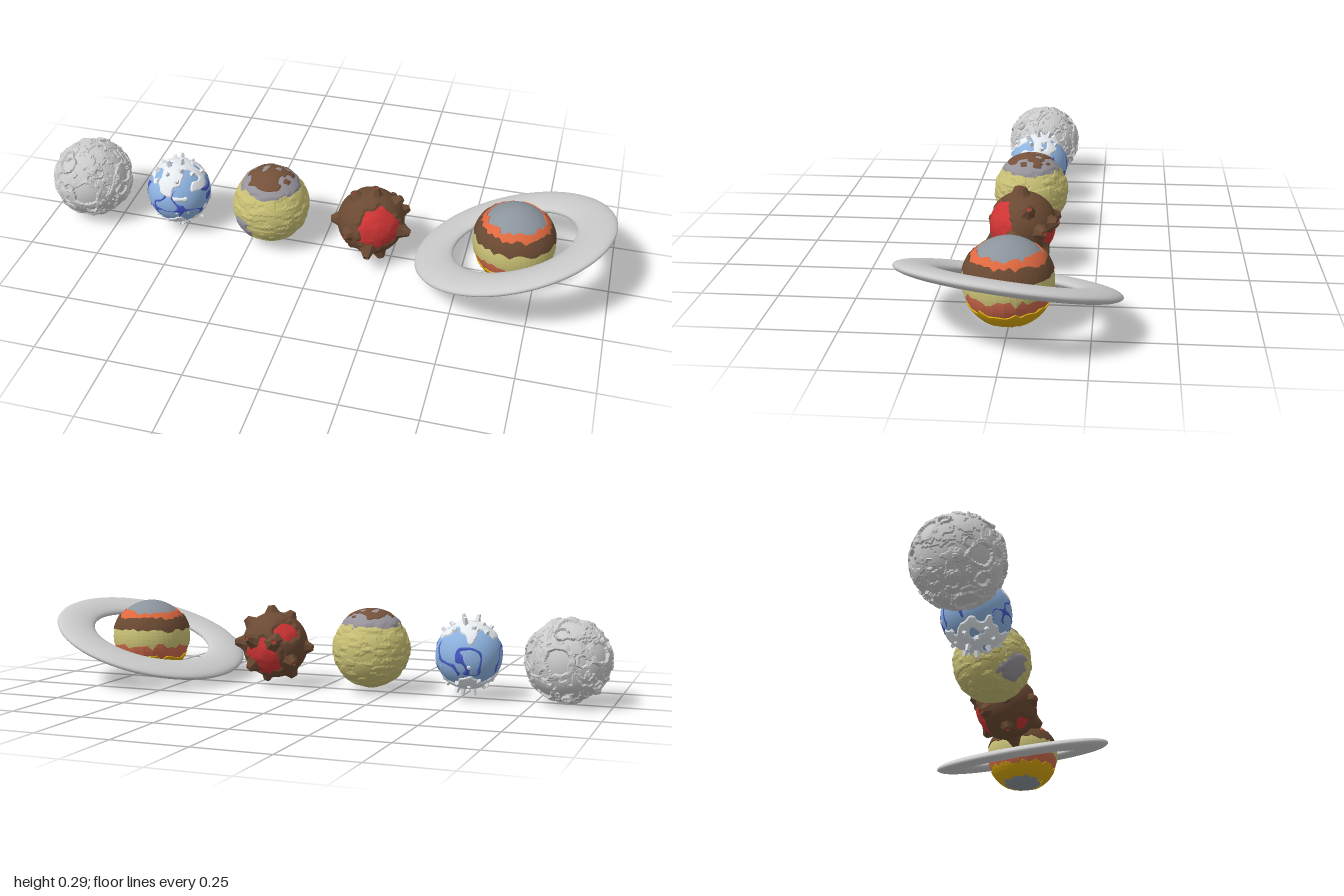
import * as THREE from 'three';

const v3 = (x, y, z) => new THREE.Vector3(x, y, z);
const dir = (a) => v3(...a).normalize();
const clamp = THREE.MathUtils.clamp;

// Smooth value noise in -1..1
function hash(x, y, z) {
  let n = Math.imul(x, 374761393) + Math.imul(y, 668265263) + Math.imul(z, 1440662683);
  n = Math.imul(n ^ (n >>> 13), 1274126177);
  return ((n ^ (n >>> 16)) >>> 0) / 2147483648 - 1;
}
function noise(p, f, seed = 0) {
  const c = [p.x * f + seed, p.y * f + seed, p.z * f + seed];
  const i = c.map(Math.floor);
  const t = c.map((v, k) => { const u = v - i[k]; return u * u * (3 - 2 * u); });
  let sum = 0;
  for (let k = 0; k < 8; k++) {
    const a = k & 1, b = (k >> 1) & 1, d = k >> 2;
    sum += hash(i[0] + a, i[1] + b, i[2] + d)
      * (a ? t[0] : 1 - t[0]) * (b ? t[1] : 1 - t[1]) * (d ? t[2] : 1 - t[2]);
  }
  return sum;
}

function mesh(name, geometry, color = 0xcccccc, flat = true) {
  const m = new THREE.Mesh(geometry, new THREE.MeshStandardMaterial({ color, flatShading: flat }));
  m.name = name;
  return m;
}

// Faceted ball whose radius follows a rule; faces wholly under minR are dropped
function ball(name, color, detail, radius, minR = 0) {
  const src = new THREE.IcosahedronGeometry(1, detail).attributes.position;
  const out = [];
  const p = v3(0, 0, 0);
  for (let i = 0; i < src.count; i += 3) {
    const tri = [];
    let seen = false;
    for (let k = 0; k < 3; k++) {
      p.fromBufferAttribute(src, i + k).normalize();
      const r = radius(p);
      if (r > minR) seen = true;
      tri.push(p.x * r, p.y * r, p.z * r);
    }
    if (seen) out.push(...tri);
  }
  const g = new THREE.BufferGeometry();
  g.setAttribute('position', new THREE.Float32BufferAttribute(out, 3));
  g.computeVertexNormals();
  return mesh(name, g, color);
}

// Raised plates with steep edges wherever mask(p) > 0
const plates = (name, color, r, h, mask) =>
  ball(name, color, 26, (p) => r + h * clamp(mask(p) * 12, -1, 1), r - h * 0.99);

// Stand a mesh on the ball along a direction
function stand(m, d, r) {
  m.position.copy(d).multiplyScalar(r);
  m.quaternion.setFromUnitVectors(v3(0, 1, 0), d);
  return m;
}

function planet(name, x, y, ...parts) {
  const g = new THREE.Group();
  g.name = name;
  g.position.set(x, y, 0);
  g.add(...parts);
  return g;
}

function fibonacci(n) {
  return Array.from({ length: n }, (_, i) => {
    const y = 1 - (2 * i + 1) / n, s = Math.sqrt(1 - y * y), a = i * 2.39996;
    return v3(Math.cos(a) * s, y, Math.sin(a) * s);
  });
}

// Grey cratered rock with stepped crust
function rockPlanet() {
  const craters = [
    [[-0.1, 0.8, -0.5], 0.38], [[0.95, 0.35, 0.1], 0.28], [[0.2, 0.1, 1], 0.42],
    [[-0.7, -0.3, 0.6], 0.3], [[0.5, -0.6, -0.6], 0.36], [[-0.8, 0.3, -0.5], 0.32],
    [[0.1, 0.1, -1], 0.4], [[0, -1, 0.2], 0.32], [[-0.4, 0.7, 0.6], 0.25],
  ].map(([d, s]) => [dir(d), s]);
  fibonacci(17).forEach((d, i) => craters.push([d, 0.12 + 0.03 * (i % 3)]));
  return planet('rockPlanet', -0.855, 0.149, ball('crateredCrust', 0xcccccc, 40, (p) => {
    let r = 0.137 + 0.004 * Math.round(1.6 * noise(p, 4.5, 3) + 0.9 * noise(p, 10, 8));
    for (const [d, s] of craters) {
      const a = p.angleTo(d) / s + 0.12 * noise(p, 9, 5);
      if (a < 0.72) r = 0.1345;
      else if (a < 1.02) r = 0.1425 + 0.003 * noise(p, 12, 2);
    }
    return Math.min(r, 0.147);
  }));
}

// Blue ocean ball, dark seas, pale ice sheets and blocky polar ice
function icePlanet() {
  const ice = new THREE.Group();
  ice.name = 'polarIce';
  fibonacci(90).forEach((d, i) => {
    if (Math.abs(d.y) < 0.66) return;
    const h = 0.012 + 0.012 * Math.abs(hash(i, 2, 5)) + 0.012 * (Math.abs(d.y) > 0.9);
    const block = mesh('iceBlock', new THREE.CylinderGeometry(0.006, 0.012, h, 4 + (i % 2)), 0xe6ebf0);
    ice.add(stand(block, d, 0.109 + h / 3));
  });
  return planet('icePlanet', -0.525, 0.15,
    ball('ocean', 0x8db2e0, 14, () => 0.111),
    plates('deepSeas', 0x4659c4, 0.1105, 0.0025,
      (p) => 0.11 - Math.abs(noise(p, 2.6, 11)) - 0.55 * Math.max(0, Math.abs(p.y) - 0.4)),
    plates('iceSheets', 0xe6ebf0, 0.1115, 0.0035,
      (p) => 0.75 * noise(p, 4, 21) + 1.15 * Math.abs(p.y) - 0.72),
    ice);
}

// Sandy ball with flaky strata and a grey-rimmed brown basin on top
function sandPlanet() {
  const patch = dir([-0.58, -0.45, 0.68]);
  const cap = (p, size) => size - p.angleTo(v3(0, 1, 0)) + 0.09 * noise(p, 7, 4);
  return planet('sandPlanet', -0.183, 0.153,
    ball('sand', 0xc8bf74, 26, (p) =>
      0.132 + 0.0022 * Math.round(1.5 * noise(v3(p.x, p.y * 2.6, p.z), 4, 7))),
    plates('greyRim', 0x96939a, 0.133, 0.0035, (p) => cap(p, 0.86)),
    plates('brownBasin', 0x75513a, 0.135, 0.0038,
      (p) => Math.min(cap(p, 0.66), 0.38 + noise(p, 6, 15))),
    plates('greyPatch', 0x96939a, 0.133, 0.0035,
      (p) => 0.34 - p.angleTo(patch) + 0.16 * noise(p, 8, 9)));
}

// Red molten ball under a brown crust studded with volcanoes
function volcanoPlanet() {
  const openings = [
    [[0.5, 0.25, 0.8], 0.75], [[-0.6, 0.5, -0.6], 0.38], [[0.1, -0.35, -0.95], 0.7], [[-0.35, -0.7, 0.55], 0.28],
  ].map(([d, s]) => [dir(d), s]);
  const peaks = new THREE.Group();
  peaks.name = 'volcanoes';
  [[-0.45, 0.88, 0.15], [0.72, 0.66, -0.2], [0.97, -0.1, 0.15], [-0.5, -0.85, 0.1], [-0.97, -0.05, 0.1],
    [0.32, -0.92, 0.2], [-0.35, 0.2, -0.92], [0.42, 0.25, -0.88], [0.85, 0.1, -0.6], [-0.5, 0, 0.87],
    [0.1, 0.98, 0], [0.1, -0.5, 0.87], [0.5, -0.6, -0.65], [-0.75, -0.4, -0.55]].forEach((a, i) => {
    const h = 0.03 + 0.005 * (i % 3);
    const profile = [[0.036, 0], [0.023, h * 0.45], [0.012, h], [0.007, h], [0.004, h * 0.75], [0, h * 0.75]];
    const cone = new THREE.LatheGeometry(profile.map((q) => new THREE.Vector2(...q)), 7);
    const lava = mesh('lava', new THREE.CylinderGeometry(0.008, 0.008, 0.002, 7), 0xcf3434);
    lava.position.y = h * 0.86;
    const v = new THREE.Group();
    v.name = 'volcano';
    v.add(mesh('cone', cone, 0x6b4a33), lava);
    peaks.add(stand(v, dir(a), 0.103));
  });
  return planet('volcanoPlanet', 0.175, 0.149,
    ball('moltenCore', 0xcf3434, 9, (p) => 0.11 + 0.002 * noise(p, 6, 2)),
    plates('crust', 0x6b4a33, 0.1115, 0.004, (p) =>
      Math.min(...openings.map(([d, s]) => p.angleTo(d) - s)) + 0.14 * noise(p, 6, 13)),
    peaks);
}

// Closed band of shell between two heights, with jagged edges
function band(name, color, r, yLow, yHigh, jagLow, jagHigh, seed, sides = 48) {
  const lo = Math.asin(yLow / r), hi = Math.asin(yHigh / r), n = 5;
  const pts = [];
  const add = (a, q) => pts.push(new THREE.Vector2(q * Math.cos(a), q * Math.sin(a)));
  add(lo, r - 0.01);
  for (let i = 0; i <= n; i++) add(lo + (hi - lo) * i / n, r);
  add(hi, r - 0.01);
  const g = new THREE.LatheGeometry(pts, sides);
  const pos = g.attributes.position;
  for (let i = 0; i < pos.count; i++) {
    const col = Math.floor(i / pts.length) % sides, row = i % pts.length;
    const p = v3(0, 0, 0).fromBufferAttribute(pos, i);
    const q = p.length(), az = Math.atan2(p.x, p.z);
    const t = clamp((row - 1) / n, 0, 1);
    const a = Math.asin(p.y / q) + hash(col, seed, 1) * jagLow * Math.max(0, 1 - 2 * t)
      + hash(col, seed, 2) * jagHigh * Math.max(0, 2 * t - 1);
    pos.setXYZ(i, q * Math.cos(a) * Math.sin(az), q * Math.sin(a), q * Math.cos(a) * Math.cos(az));
  }
  return mesh(name, g, color);
}

// Banded ball circled by a broad tilted ring
function ringedPlanet() {
  const ringShape = new THREE.TorusGeometry(0.277, 0.067, 24, 96);
  ringShape.scale(1, 1, 0.3).rotateX(Math.PI / 2);
  const ring = mesh('ring', ringShape, 0xcccccc, false);
  ring.quaternion.setFromUnitVectors(v3(0, 1, 0), dir([-0.33, 1, -0.125]));
  return planet('ringedPlanet', 0.668, 0.154,
    mesh('core', new THREE.SphereGeometry(0.135, 48, 32), 0x8c949c, false),
    band('orangeBand', 0xe0693f, 0.138, 0.065, 0.098, 0.02, 0.07, 3),
    band('brownBand', 0x6b4a33, 0.142, 0.036, 0.079, 0.06, 0.06, 5),
    band('sandBand', 0xc8bf74, 0.139, -0.022, 0.045, 0.09, 0.02, 7),
    band('clayBand', 0xce6a4c, 0.1365, -0.075, -0.01, 0.02, 0.02, 9, 24),
    band('yellowBand', 0xd8a60c, 0.14, -0.115, -0.064, 0.08, 0.08, 11),
    ring);
}

export function createModel() {
  const model = new THREE.Group();
  model.name = 'planets';
  model.add(rockPlanet(), icePlanet(), sandPlanet(), volcanoPlanet(), ringedPlanet());
  return model;
}
